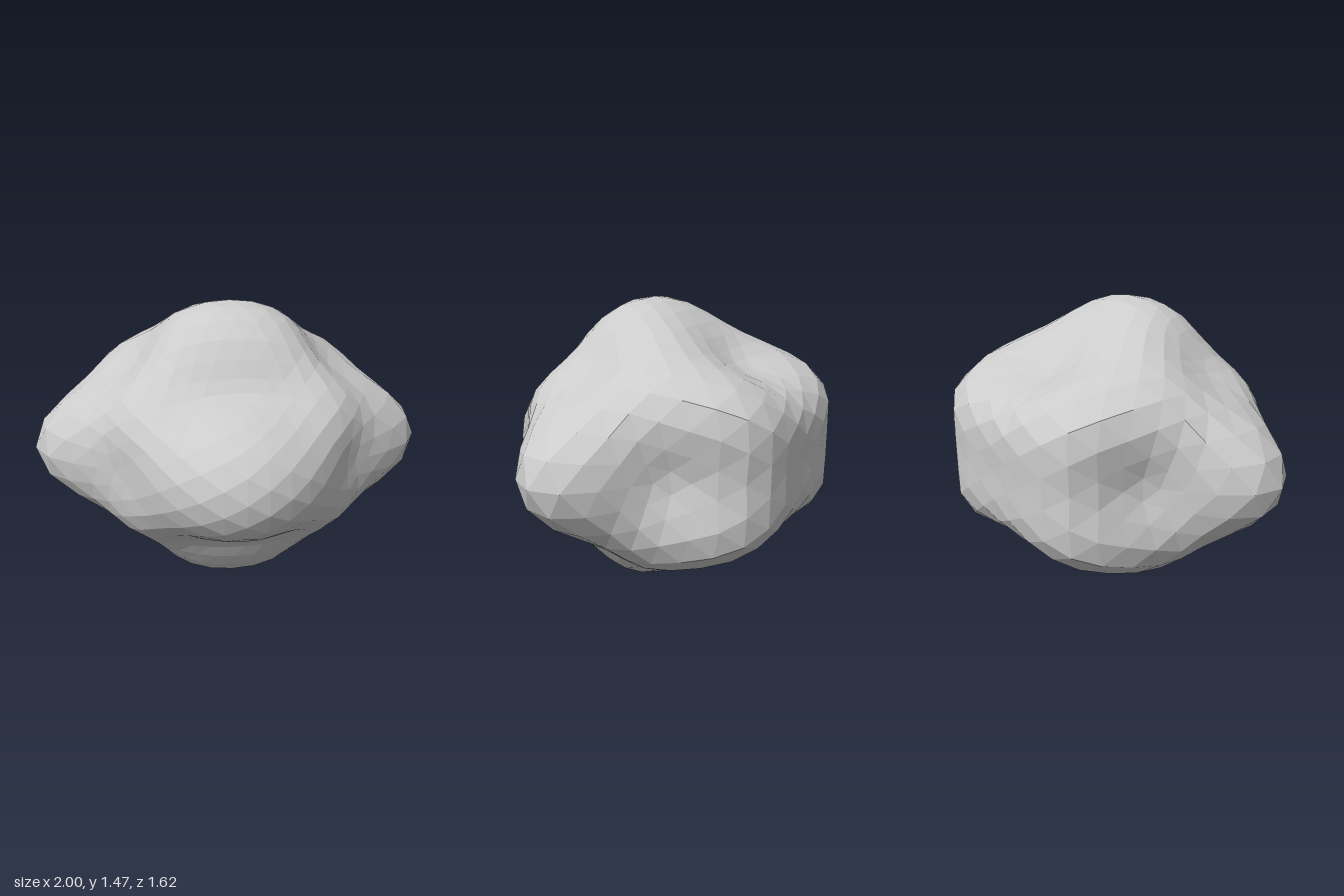
import * as THREE from 'three';

// Surface points of one quadrant, relative to the rock's core; mirrored in x and y
const ANCHORS = [
  // tips of the side, top and front lobes
  [1.005, 0, 0], [0, 0.737, 0], [0, 0, 0.785],
  // shoulders around the lobes
  [0.73, 0, 0.27], [0.75, 0.29, 0], [0.76, 0, -0.33],
  [0, 0.645, 0.22], [0, 0.635, -0.24], [0.23, 0.69, 0],
  [0, 0.22, 0.68], [0.26, 0, 0.7],
  // valleys between the lobes
  [0, 0.37, 0.41], [0.25, 0.36, 0.4], [0.55, 0, 0.385], [0.5, 0.42, 0],
  [0, 0.47, -0.41], [0.61, 0, -0.44],
  // broad front faces
  [0.52, 0.26, 0.39],
  // ridges running to the back corners
  [0.46, 0.52, -0.23], [0.63, 0.41, -0.29], [0.62, 0.24, -0.54],
  [0.55, 0.37, -0.57], [0.48, 0.29, -0.74],
  // flat back
  [0, 0.38, -0.59], [0, 0.29, -0.79], [0.33, 0.16, -0.83],
  [0.52, 0, -0.67], [0, 0, -0.83],
];
const CORE = new THREE.Vector3(0, 0.735, 0.03);
const BASE_RADIUS = 0.7;

const kernel = (a, b) => Math.exp(14 * (a.dot(b) - 1));

// Mirrors the anchors and finds bump heights so the surface passes through them
function makeBumps() {
  const bumps = [];
  for (const [x, y, z] of ANCHORS) {
    for (const sx of x ? [1, -1] : [1]) {
      for (const sy of y ? [1, -1] : [1]) {
        const dir = new THREE.Vector3(x * sx, y * sy, z);
        const offset = dir.length() - BASE_RADIUS;
        bumps.push({ dir: dir.normalize(), offset, height: 0 });
      }
    }
  }
  for (let pass = 0; pass < 300; pass++) {
    for (const b of bumps) {
      let rest = b.offset;
      for (const o of bumps) if (o !== b) rest -= o.height * kernel(b.dir, o.dir);
      b.height = rest / 1.02;
    }
  }
  return bumps;
}

export function createModel() {
  const group = new THREE.Group();
  group.name = 'asteroid';

  // Icosphere raised and lowered by smooth bumps
  const bumps = makeBumps();
  const geometry = new THREE.IcosahedronGeometry(1, 7);
  const pos = geometry.attributes.position;
  const v = new THREE.Vector3();
  for (let i = 0; i < pos.count; i++) {
    v.fromBufferAttribute(pos, i).normalize();
    let radius = BASE_RADIUS;
    for (const b of bumps) radius += b.height * kernel(v, b.dir);
    v.multiplyScalar(radius).add(CORE);
    pos.setXYZ(i, v.x, v.y, v.z);
  }
  geometry.computeVertexNormals();

  const rock = new THREE.Mesh(
    geometry,
    new THREE.MeshStandardMaterial({ color: 0xcccccc, flatShading: true })
  );
  rock.name = 'rock';
  group.add(rock);
  return group;
}
